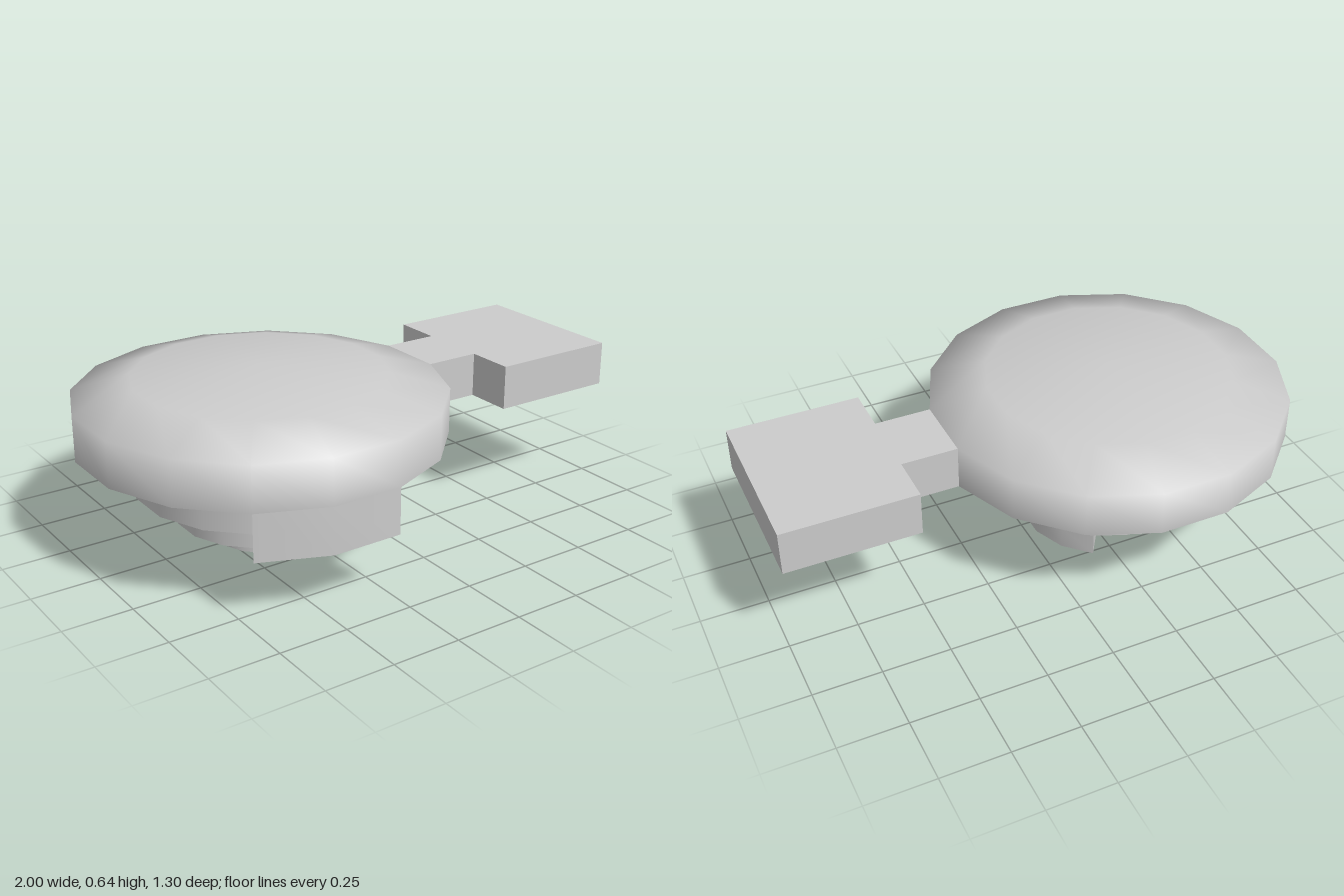
import * as THREE from 'three';
import { toCreasedNormals } from 'three/addons/utils/BufferGeometryUtils.js';

const SIDES = 16;
const STEP = (Math.PI * 2) / SIDES;
const AXIS_X = -0.35; // vertical axis shared by all round parts

export function createModel() {
  const group = new THREE.Group();
  const material = new THREE.MeshStandardMaterial({ color: 0xcccccc });

  const add = (name, geometry, x = AXIS_X, y = 0) => {
    const mesh = new THREE.Mesh(geometry, material);
    mesh.name = name;
    mesh.position.set(x, y, 0);
    group.add(mesh);
  };

  // Horizontal slab from an outline of [x, z] points between two heights
  const slab = (outline, bottom, top) => {
    const shape = new THREE.Shape(outline.map(([x, z]) => new THREE.Vector2(x, z)));
    const geometry = new THREE.ExtrudeGeometry(shape, { depth: top - bottom, bevelEnabled: false });
    geometry.rotateX(Math.PI / 2).translate(0, top, 0);
    return toCreasedNormals(geometry, 0.6);
  };

  // Part of a faceted ring; first and last count facet corners from +x towards +z
  const ringSector = (inner, outer, first, last, bottom, top) => {
    const outline = [];
    for (let i = first; i <= last; i++) outline.push([outer * Math.cos(i * STEP), outer * Math.sin(i * STEP)]);
    for (let i = last; i >= first; i--) outline.push([inner * Math.cos(i * STEP), inner * Math.sin(i * STEP)]);
    return slab(outline, bottom, top);
  };

  const tier = (name, radius, bottom, top) => {
    const height = top - bottom;
    const geometry = new THREE.CylinderGeometry(radius, radius, height, SIDES, 1, false, STEP / 2);
    add(name, geometry, AXIS_X, bottom + height / 2);
  };

  // Domed head, shaded softly over the rim
  const profile = [[0, 0.385], [0.665, 0.385], [0.665, 0.55], [0.455, 0.611], [0, 0.645]]
    .map(([r, y]) => new THREE.Vector2(r, y));
  add('domedHead', toCreasedNormals(new THREE.LatheGeometry(profile, SIDES, STEP / 2), 1.4));

  // Handle: narrow neck widening into a flat grip
  const side = [[0.302, 0.13], [0.51, 0.13], [0.51, 0.31], [1, 0.31]];
  const mirrored = side.map(([x, z]) => [x, -z]).reverse();
  add('handle', slab([...side, ...mirrored], 0.385, 0.55), 0);

  // Stepped plug below the head
  tier('upperTier', 0.466, 0.215, 0.385);
  tier('middleTier', 0.321, 0.09, 0.215);
  tier('bottomPin', 0.178, 0, 0.09);

  // Locking tab at the front and stop around the pin
  add('lockingTab', ringSector(0.466, 0.665, 3.5, 5.5, 0.215, 0.385));
  add('pinStop', ringSector(0.178, 0.321, -2.5, 2.5, 0.004, 0.09));

  return group;
}
